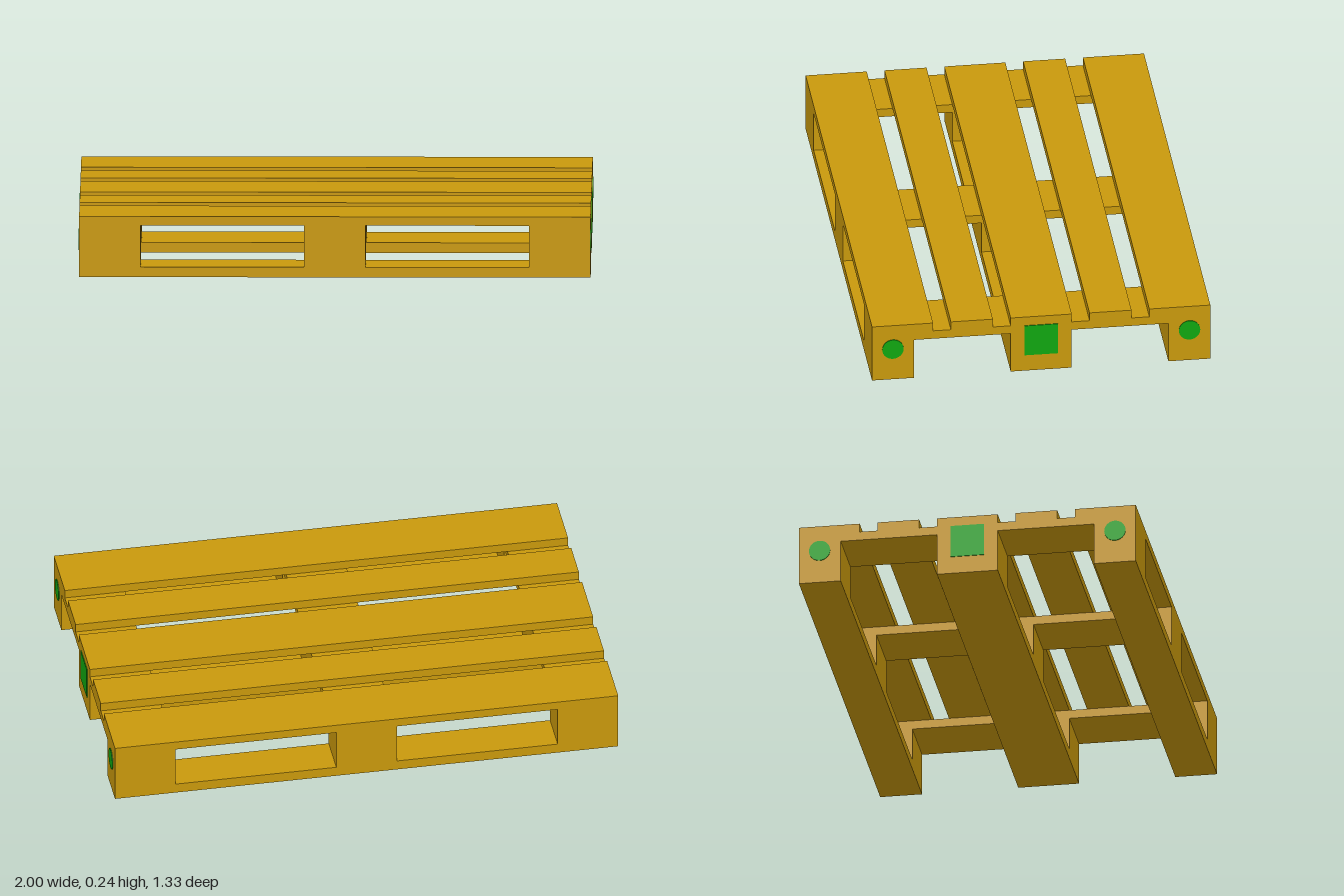
import * as THREE from 'three';

export function createModel() {
  const pallet = new THREE.Group();
  pallet.name = 'pallet';
  const wood = new THREE.MeshStandardMaterial({ color: 0xc8980c });
  const paint = new THREE.MeshStandardMaterial({ color: 0x10a510 });
  const END = 0.997; // timber half length; the end marks reach 1

  const add = (name, geometry, material, x, y, z) => {
    const mesh = new THREE.Mesh(geometry, material);
    mesh.name = name;
    mesh.position.set(x, y, z);
    pallet.add(mesh);
    return mesh;
  };
  // Box from its lower and upper limits on each axis
  const slab = (name, [x0, x1], [y0, y1], [z0, z1], material = wood) =>
    add(name, new THREE.BoxGeometry(x1 - x0, y1 - y0, z1 - z0), material,
      (x0 + x1) / 2, (y0 + y1) / 2, (z0 + z1) / 2);

  const length = [-END, END];
  const columns = [[-END, -0.757], [-0.12, 0.12], [0.757, END]];
  const runners = [[-0.665, -0.5], [-0.12, 0.12], [0.5, 0.665]];
  const deck = [[-0.665, -0.425], [-0.355, -0.19], [-0.12, 0.12], [0.19, 0.355], [0.425, 0.665]];

  // Five deck boards along the length
  for (const z of deck) slab('deckBoard', length, [0.205, 0.24], z);

  // Three cross boards under the deck
  for (const x of columns) slab('crossBoard', x, [0.17, 0.205], [-0.665, 0.665]);

  // Three runners, each with three spacer blocks
  for (const z of runners) {
    slab('bottomBoard', length, [0, 0.04], z);
    for (const x of columns) slab('spacerBlock', x, [0.04, 0.17], z);
  }

  // Painted marks on both ends: a square in the middle, a disc on each corner
  for (const side of [-1, 1]) {
    const x = side * (END - 0.007);
    slab('squareMark', [x - 0.01, x + 0.01], [0.07, 0.202], [-0.066, 0.066], paint);
    for (const z of [-0.583, 0.583]) {
      const disc = add('roundMark', new THREE.CylinderGeometry(0.042, 0.042, 0.02, 32), paint, x, 0.135, z);
      disc.rotation.z = Math.PI / 2;
    }
  }
  return pallet;
}
